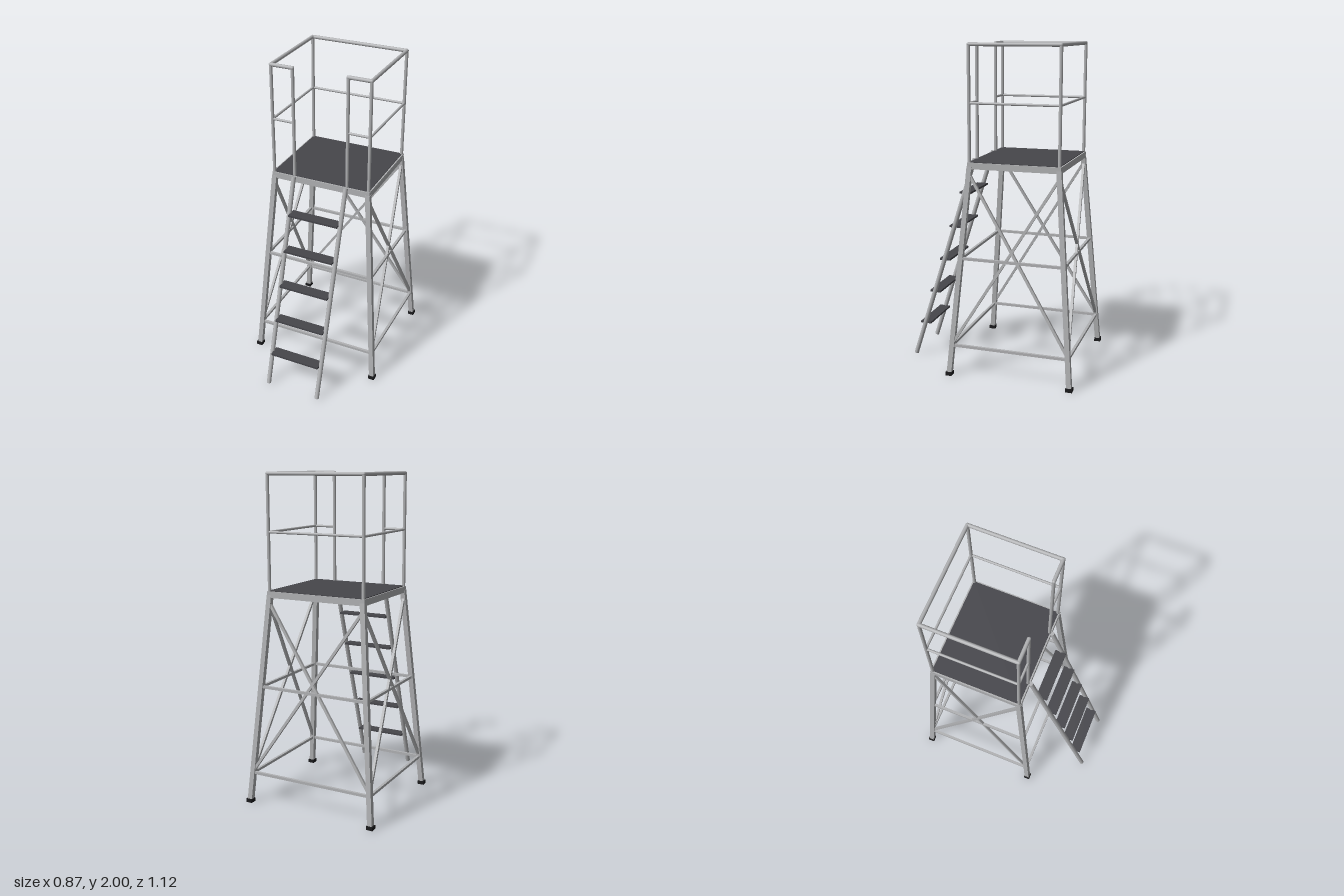
import * as THREE from 'three';

export function createModel() {
  const model = new THREE.Group();
  model.name = 'observationTower';
  const mat = (name, color) => {
    const m = new THREE.MeshStandardMaterial({ color });
    m.name = name;
    return m;
  };
  const steel = mat('galvanisedSteel', 0xb0b1b3);
  const tread = mat('darkDecking', 0x46464b);
  const rubber = mat('blackRubber', 0x1a1a1c);

  const CZ = -0.1625; // centre of the tower in z
  const UP = new THREE.Vector3(0, 1, 0);

  const add = (name, geometry, material, x, y, z) => {
    const mesh = new THREE.Mesh(geometry, material);
    mesh.name = name;
    mesh.position.set(x, y, z);
    model.add(mesh);
    return mesh;
  };
  const box = (name, material, w, h, d, x, y, z) =>
    add(name, new THREE.BoxGeometry(w, h, d), material, x, y, z);

  // Straight member between two points: round tube or square bar
  const member = (name, a, b, size, round) => {
    const p = new THREE.Vector3(...a), q = new THREE.Vector3(...b);
    const dir = q.clone().sub(p), len = dir.length();
    const geometry = round
      ? new THREE.CylinderGeometry(size / 2, size / 2, len, 16)
      : new THREE.BoxGeometry(size, len, size);
    const mid = p.add(q).multiplyScalar(0.5);
    const mesh = add(name, geometry, steel, mid.x, mid.y, mid.z);
    mesh.quaternion.setFromUnitVectors(UP, dir.normalize());
  };

  // Point on the axis of a splayed leg at height y
  const legPoint = ([sx, sz], y) => {
    const t = y / 1.28;
    return [sx * (0.413 - 0.105 * t), y, CZ + sz * (0.377 - 0.105 * t)];
  };
  const corners = [[1, 1], [1, -1], [-1, -1], [-1, 1]];

  // Legs and feet
  for (const c of corners) {
    member('leg', legPoint(c, 0.01), legPoint(c, 1.285), 0.03, false);
    const [x, , z] = legPoint(c, 0);
    box('foot', rubber, 0.04, 0.022, 0.04, x, 0.011, z);
  }

  // Horizontal braces all round, crossed braces on all but the ladder side
  corners.forEach((a, i) => {
    const b = corners[(i + 1) % 4];
    for (const y of [0.19, 0.73]) {
      member('horizontalBrace', legPoint(a, y), legPoint(b, y), 0.016, false);
    }
    if (i < 3) {
      member('crossBrace', legPoint(a, 0.2), legPoint(b, 1.24), 0.016, false);
      member('crossBrace', legPoint(b, 0.2), legPoint(a, 1.24), 0.016, false);
    }
  });

  // Platform
  box('platformFrame', steel, 0.642, 0.038, 0.57, 0, 1.289, CZ);
  box('deck', tread, 0.624, 0.005, 0.552, 0, 1.3095, CZ);

  // Guard rail with an opening at the ladder
  const X = 0.31, ZF = CZ + 0.273, ZB = CZ - 0.273, GATE = 0.172, TOP = 1.989;
  const railPath = [[GATE, ZF], [X, ZF], [X, ZB], [-X, ZB], [-X, ZF], [-GATE, ZF]];
  railPath.forEach(([x, z], i) => {
    member('railPost', [x, 1.3, z], [x, TOP, z], 0.02, true);
    add('railCorner', new THREE.SphereGeometry(0.011, 16, 10), steel, x, TOP, z);
    if (i === 0) return;
    const [px, pz] = railPath[i - 1];
    member('topRail', [px, TOP, pz], [x, TOP, z], 0.022, true);
    member('midRail', [px, 1.655, pz], [x, 1.655, z], 0.015, true);
  });

  // Ladder
  const ladderZ = (y) => 0.545 - 0.319 * y;
  for (const s of [-1, 1]) {
    member('ladderStringer', [s * 0.171, 0.005, ladderZ(0.005)], [s * 0.171, 1.308, ladderZ(1.308)], 0.028, true);
  }
  for (let i = 1; i <= 5; i++) {
    const y = 0.218 * i;
    box('ladderTread', tread, 0.325, 0.012, 0.07, 0, y, ladderZ(y));
  }
  return model;
}
